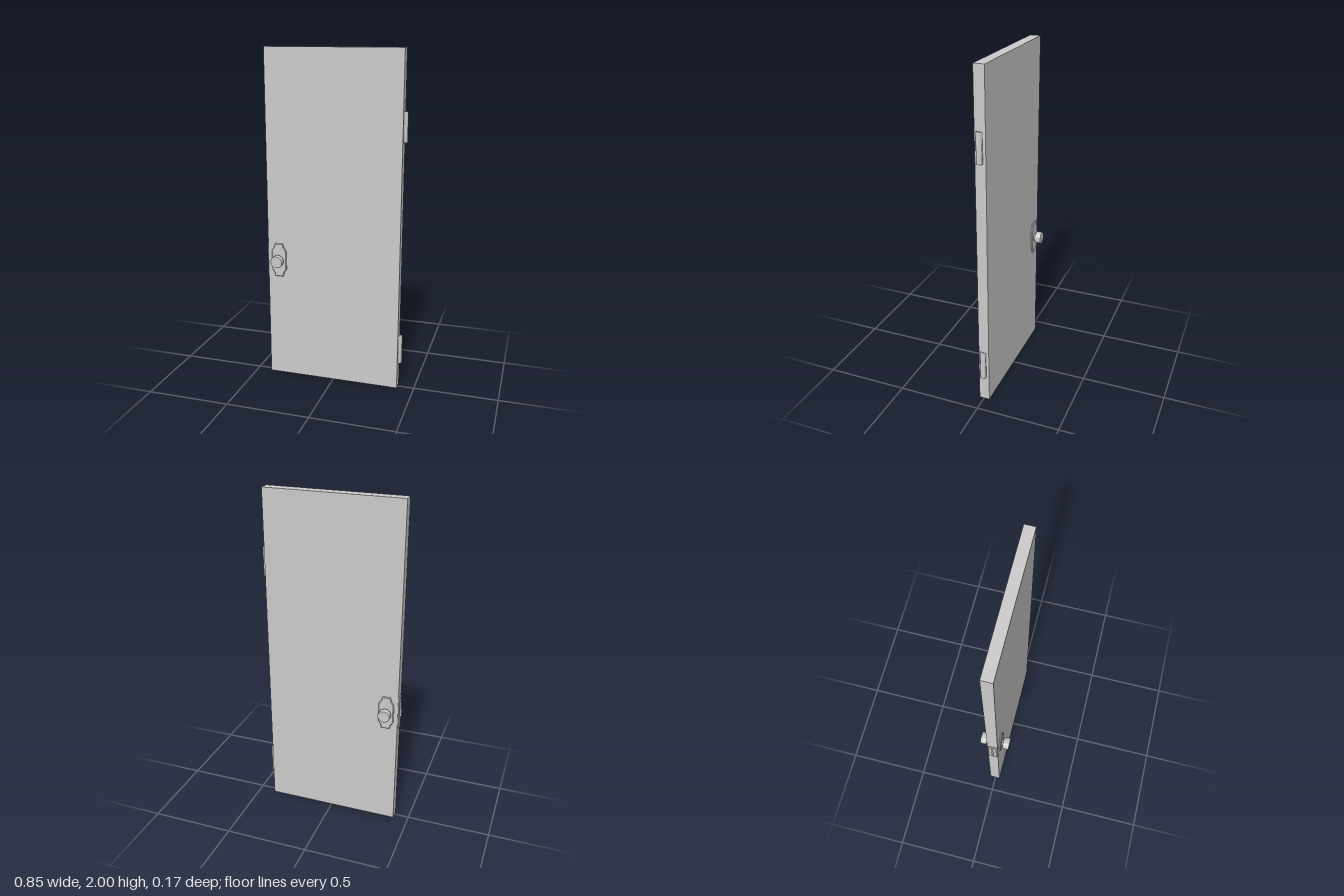
import * as THREE from 'three';
import { mergeVertices, toCreasedNormals } from 'three/addons/utils/BufferGeometryUtils.js';

const grey = new THREE.MeshStandardMaterial({ color: 0xcccccc });
const midZ = -0.003, halfT = 0.031, lockY = 0.745, knobX = -0.34;

function mesh(name, geometry, x = 0, y = 0, z = 0) {
  const m = new THREE.Mesh(geometry, grey);
  m.name = name;
  m.position.set(x, y, z);
  return m;
}

// Mirrors one quarter outline (top to side) into a closed shape
function quarterShape(q) {
  const r = [...q].reverse();
  return new THREE.Shape([
    ...q.map(([x, y]) => [x, y]),
    ...r.map(([x, y]) => [x, -y]),
    ...q.map(([x, y]) => [-x, -y]),
    ...r.map(([x, y]) => [-x, y]),
  ].map(([x, y]) => new THREE.Vector2(x, y)));
}

// Thin plate with a chamfered front edge, its back sunk below z = 0
function chamferedPlate(quarter, height, chamfer) {
  const geometry = new THREE.ExtrudeGeometry(quarterShape(quarter), {
    depth: height, bevelEnabled: true, bevelThickness: chamfer,
    bevelSize: chamfer, bevelOffset: -chamfer, bevelSegments: 1,
  });
  return geometry.translate(0, 0, -chamfer);
}

// Escutcheon plate and knob, projecting along +z from the door face
function createKnob(name) {
  const knob = new THREE.Group();
  knob.name = name;
  const outline = [[0.025, 0.103], [0.031, 0.079], [0.038, 0.07], [0.046, 0.056]];
  knob.add(mesh('escutcheon', chamferedPlate(outline, 0.01, 0.004).translate(0, 0, -0.0005)));
  const profile = [
    [0.023, 0], [0.023, 0.014], [0.024, 0.017], [0.031, 0.019], [0.035, 0.022],
    [0.0365, 0.026], [0.0365, 0.054], [0.035, 0.0565], [0, 0.0565],
  ].map(([r, h]) => new THREE.Vector2(r, h));
  const turned = toCreasedNormals(new THREE.LatheGeometry(profile, 32), 0.7);
  knob.add(mesh('knobHandle', turned.rotateX(Math.PI / 2)));
  return knob;
}

// Half-round hinge barrel standing off the door edge
function hingeGeometry() {
  const section = [
    [0, -0.017], [0.014, -0.0155], [0.018, -0.012], [0.021, -0.006],
    [0.021, 0.006], [0.018, 0.012], [0.014, 0.0155], [0, 0.017],
  ].map(([x, y]) => new THREE.Vector2(x, y));
  let geometry = new THREE.ExtrudeGeometry(new THREE.Shape(section), { depth: 0.172, bevelEnabled: false });
  geometry.deleteAttribute('normal');
  geometry.deleteAttribute('uv');
  geometry = mergeVertices(geometry);
  geometry.computeVertexNormals();
  return geometry.translate(0, 0, -0.086).rotateX(-Math.PI / 2);
}

// Latch face on the free edge of the door, built facing +z
function createLatch() {
  const latch = new THREE.Group();
  latch.name = 'latch';
  latch.add(mesh('latchPlate', chamferedPlate([[0.02, 0.107], [0.027, 0.1]], 0.006, 0.004)));
  // Bolt with a sloped nose
  const bolt = new THREE.Shape([
    new THREE.Vector2(-0.008, 0), new THREE.Vector2(0.008, 0),
    new THREE.Vector2(0.006, 0.015), new THREE.Vector2(-0.004, 0.015),
  ]);
  const boltGeometry = new THREE.ExtrudeGeometry(bolt, { depth: 0.05, bevelEnabled: false });
  latch.add(mesh('latchBolt', boltGeometry.translate(0, 0, -0.025).rotateX(Math.PI / 2)));
  for (const y of [-0.078, 0.078]) {
    const screw = new THREE.CylinderGeometry(0.005, 0.007, 0.012, 16).rotateX(Math.PI / 2);
    latch.add(mesh('latchScrew', screw, 0, y, 0.006));
  }
  return latch;
}

export function createModel() {
  const door = new THREE.Group();
  door.name = 'door';
  door.add(mesh('doorPanel', new THREE.BoxGeometry(0.81, 2, halfT * 2), -0.005, 1, midZ));

  // Matching knobs on both faces
  for (const side of [1, -1]) {
    const knob = createKnob(side > 0 ? 'frontKnob' : 'backKnob');
    knob.position.set(knobX, lockY, midZ + side * halfT);
    if (side < 0) knob.rotation.y = Math.PI;
    door.add(knob);
  }

  const latch = createLatch();
  latch.position.set(-0.41, lockY, midZ);
  latch.rotation.y = -Math.PI / 2;
  door.add(latch);

  // Hinges on the opposite edge
  const hinge = hingeGeometry();
  door.add(mesh('lowerHinge', hinge, 0.4, 0.245, -0.001));
  door.add(mesh('upperHinge', hinge, 0.4, 1.575, -0.001));
  return door;
}
